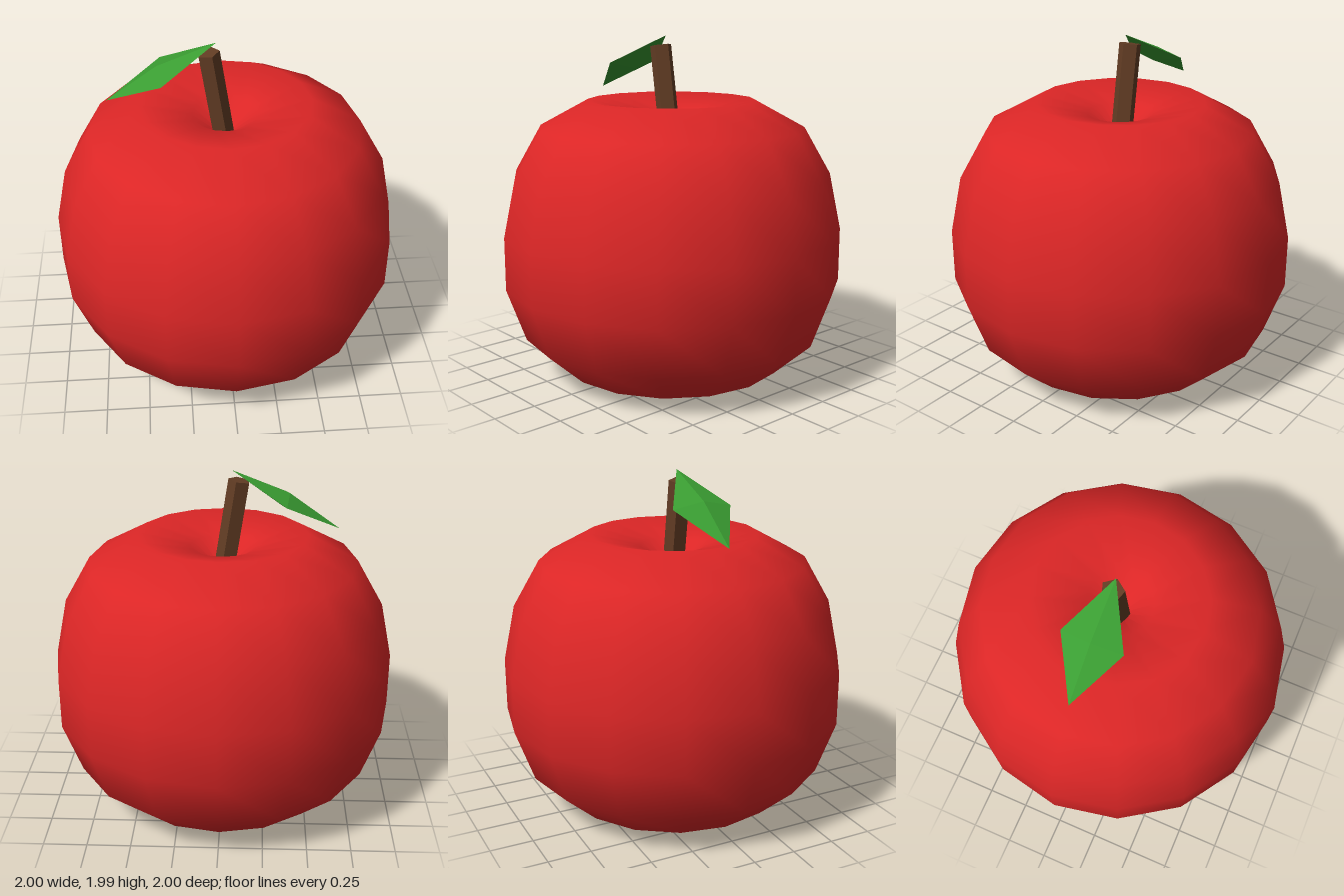
import * as THREE from 'three';

const red = new THREE.MeshStandardMaterial({ name: 'appleRed', color: 0xdc2626 });
const brown = new THREE.MeshStandardMaterial({ name: 'stemBrown', color: 0x633d24 });
const green = new THREE.MeshStandardMaterial({ name: 'leafGreen', color: 0x3a9d32 });

function addPart(group, name, geometry, material) {
  const mesh = new THREE.Mesh(geometry, material);
  mesh.name = name;
  group.add(mesh);
  return mesh;
}

export function createModel() {
  const apple = new THREE.Group();
  apple.name = 'apple';

  // Body: smooth 16-sided lathe with a shallow dimple below and a deeper one on top
  const profile = [
    [0, 0.09], [0.35, 0], [0.67, 0.05], [0.89, 0.25], [1, 0.56], [1, 0.87],
    [0.93, 1.2], [0.775, 1.47], [0.49, 1.625], [0.19, 1.55], [0, 1.4],
  ].map(([r, y]) => new THREE.Vector2(r, y));
  addPart(apple, 'body', new THREE.LatheGeometry(profile, 16), red);

  // Stem: five-sided faceted rod, one corner towards +x, leaning towards -x
  const length = 0.64;
  const stemGeometry = new THREE.CylinderGeometry(0.065, 0.065, length, 5, 1, false, Math.PI / 2)
    .translate(0, -length / 2, 0)
    .toNonIndexed();
  stemGeometry.computeVertexNormals();
  const stem = addPart(apple, 'stem', stemGeometry, brown);
  stem.position.set(-0.094, 1.934, 0);
  stem.rotation.z = 0.155;

  // Leaf: flattened octahedron hanging down from the stem tip
  const leaf = addPart(apple, 'leaf', new THREE.OctahedronGeometry(1).scale(0.348, 0.042, 0.175), green);
  leaf.geometry.computeVertexNormals();
  leaf.position.set(-0.355, 1.826, 0);
  leaf.rotation.z = 0.496;

  return apple;
}
